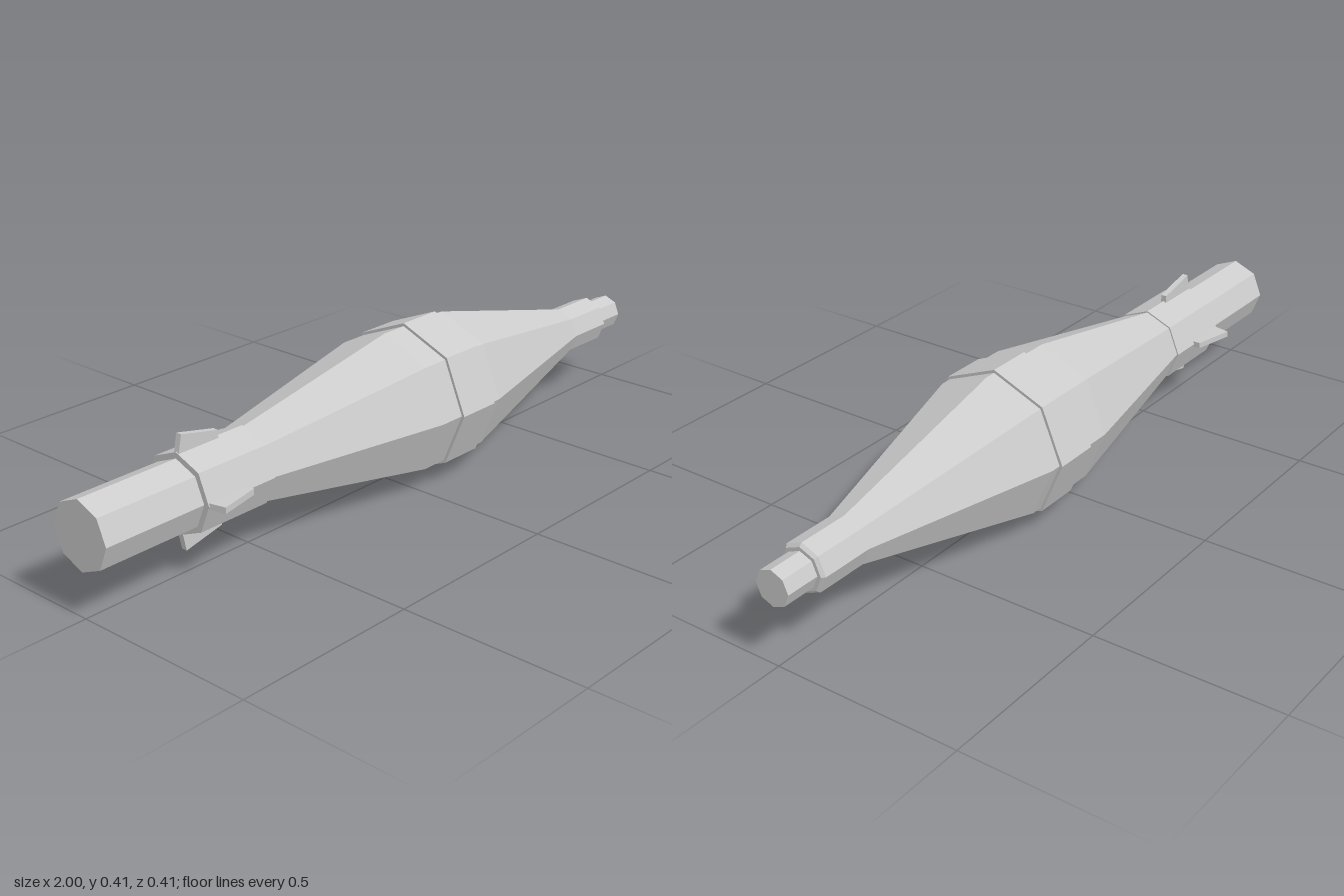
import * as THREE from 'three';

const AXIS_Y = 0.205;
const material = new THREE.MeshStandardMaterial({ color: 0xcccccc, flatShading: true });

// Closed octagonal solid along x from [x, radius] pairs, corners at top and sides
function turned(name, profile) {
  const points = [
    [profile[0][0], 0], ...profile, [profile[profile.length - 1][0], 0],
  ].map(([x, r]) => new THREE.Vector2(r, x));
  const geometry = new THREE.LatheGeometry(points, 8);
  geometry.rotateZ(-Math.PI / 2);
  const mesh = new THREE.Mesh(geometry, material);
  mesh.name = name;
  return mesh;
}

export function createModel() {
  const model = new THREE.Group();
  model.name = 'finnedProjectile';

  const body = new THREE.Group();
  body.name = 'body';
  body.position.y = AXIS_Y;
  model.add(body);

  // Tail tube, collar, swelling hull, raised band and nose
  body.add(
    turned('tailTube', [[-1, 0.089], [-0.71, 0.089]]),
    turned('tailCollar', [[-0.715, 0.105], [-0.505, 0.105]]),
    turned('hull', [[-0.51, 0.1], [0, 0.197], [0.23, 0.197], [0.76, 0.066], [0.9, 0.066], [0.908, 0.058]]),
    turned('hullBand', [[0.075, 0.205], [0.2, 0.205]]),
    turned('noseTip', [[0.9, 0.048], [1, 0.048]]),
  );

  // Four thin tail fins on the collar corners
  const outline = new THREE.Shape([
    new THREE.Vector2(-0.715, 0.09),
    new THREE.Vector2(-0.59, 0.09),
    new THREE.Vector2(-0.59, 0.122),
    new THREE.Vector2(-0.703, 0.147),
  ]);
  const finGeometry = new THREE.ExtrudeGeometry(outline, { depth: 0.016, bevelEnabled: false });
  finGeometry.translate(0, 0, -0.008);
  for (let i = 0; i < 4; i++) {
    const fin = new THREE.Mesh(finGeometry, material);
    fin.name = `tailFin${i + 1}`;
    fin.rotation.x = (i * Math.PI) / 2;
    body.add(fin);
  }

  return model;
}
